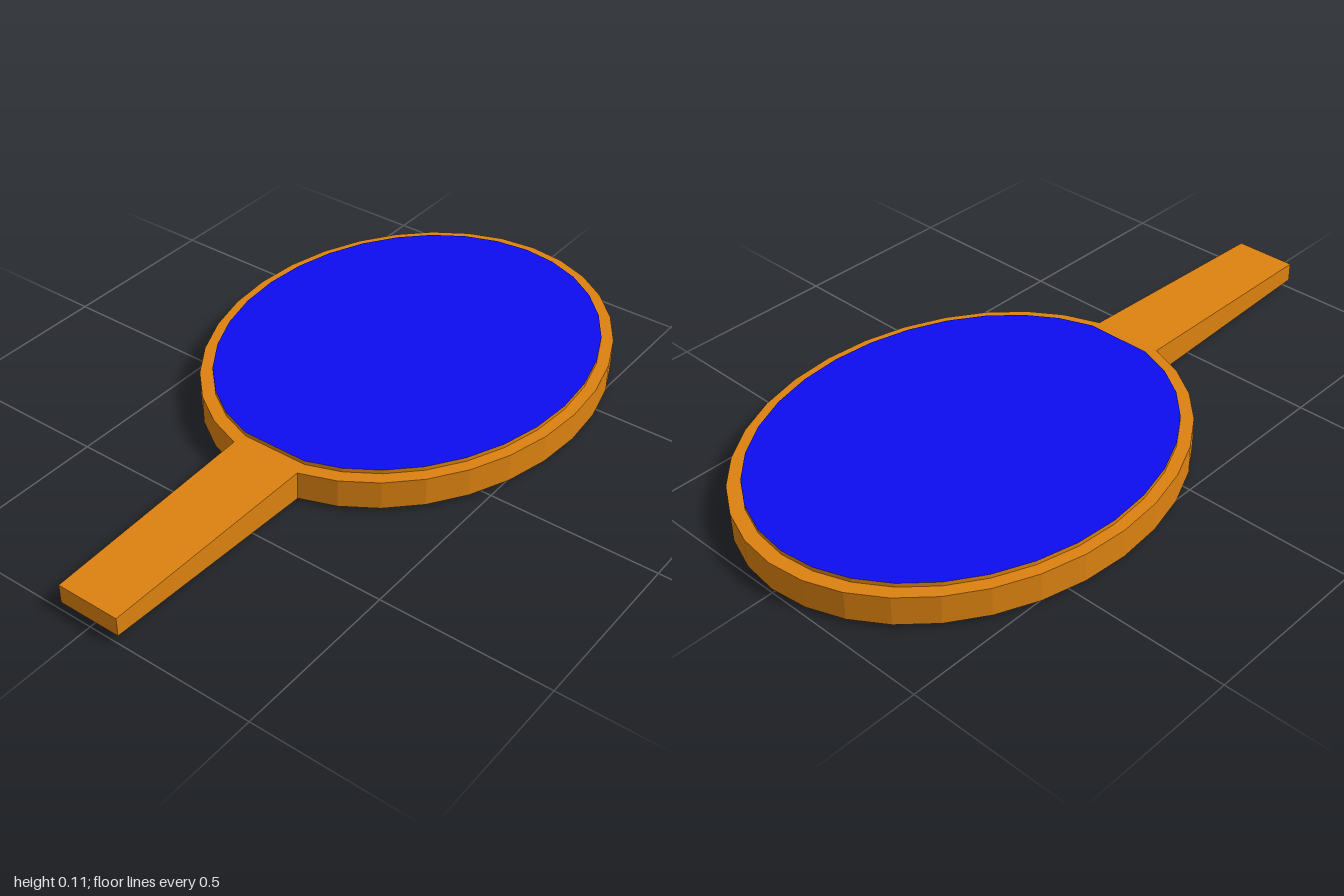
import * as THREE from 'three';

const SIDES = 32;
const CENTRE_Z = -0.328;

const wood = new THREE.MeshStandardMaterial({ color: 0xdd8210, flatShading: true });
const rubber = new THREE.MeshStandardMaterial({ color: 0x0d0df0, flatShading: true });

// Oval outline in plan; the corner nearest the handle is left out for a flat joint
function ovalPoints(rx, rz) {
  const points = [];
  for (let i = 1; i < SIDES; i++) {
    const a = (i / SIDES) * Math.PI * 2;
    points.push(new THREE.Vector2(rx * Math.sin(a), -CENTRE_Z - rz * Math.cos(a)));
  }
  return points;
}

// Upright slab from y0 to y1 over a plan shape
function slab(name, shape, y0, y1, material) {
  const geometry = new THREE.ExtrudeGeometry(shape, { depth: y1 - y0, bevelEnabled: false });
  geometry.rotateX(-Math.PI / 2).translate(0, y0, 0);
  const mesh = new THREE.Mesh(geometry, material);
  mesh.name = name;
  return mesh;
}

export function createModel() {
  const model = new THREE.Group();
  model.name = 'paddle';

  // Wooden rim around the head
  const rim = new THREE.Shape(ovalPoints(0.553, 0.672));
  rim.holes.push(new THREE.Path(ovalPoints(0.519, 0.632)));
  model.add(slab('rim', rim, 0.012, 0.098, wood));

  // Raised core: coloured faces above and below, wooden edge
  const core = new THREE.Shape(ovalPoints(0.519, 0.632));
  model.add(slab('hittingFaces', core, 0, 0.11, [rubber, wood]));

  // Handle, narrowing in width and thickness towards its end
  const jointZ = CENTRE_Z + 0.672 * Math.cos(Math.PI * 2 / SIDES);
  const length = 1 - jointZ;
  const handleGeometry = new THREE.BoxGeometry(0.216, 0.086, length);
  const p = handleGeometry.attributes.position;
  for (let i = 0; i < p.count; i++) {
    if (p.getZ(i) > 0) p.setXY(i, p.getX(i) * 0.88, p.getY(i) * 0.66);
  }
  handleGeometry.computeVertexNormals();
  const handle = new THREE.Mesh(handleGeometry, wood);
  handle.name = 'handle';
  handle.position.set(0, 0.055, jointZ + length / 2);
  model.add(handle);

  return model;
}
